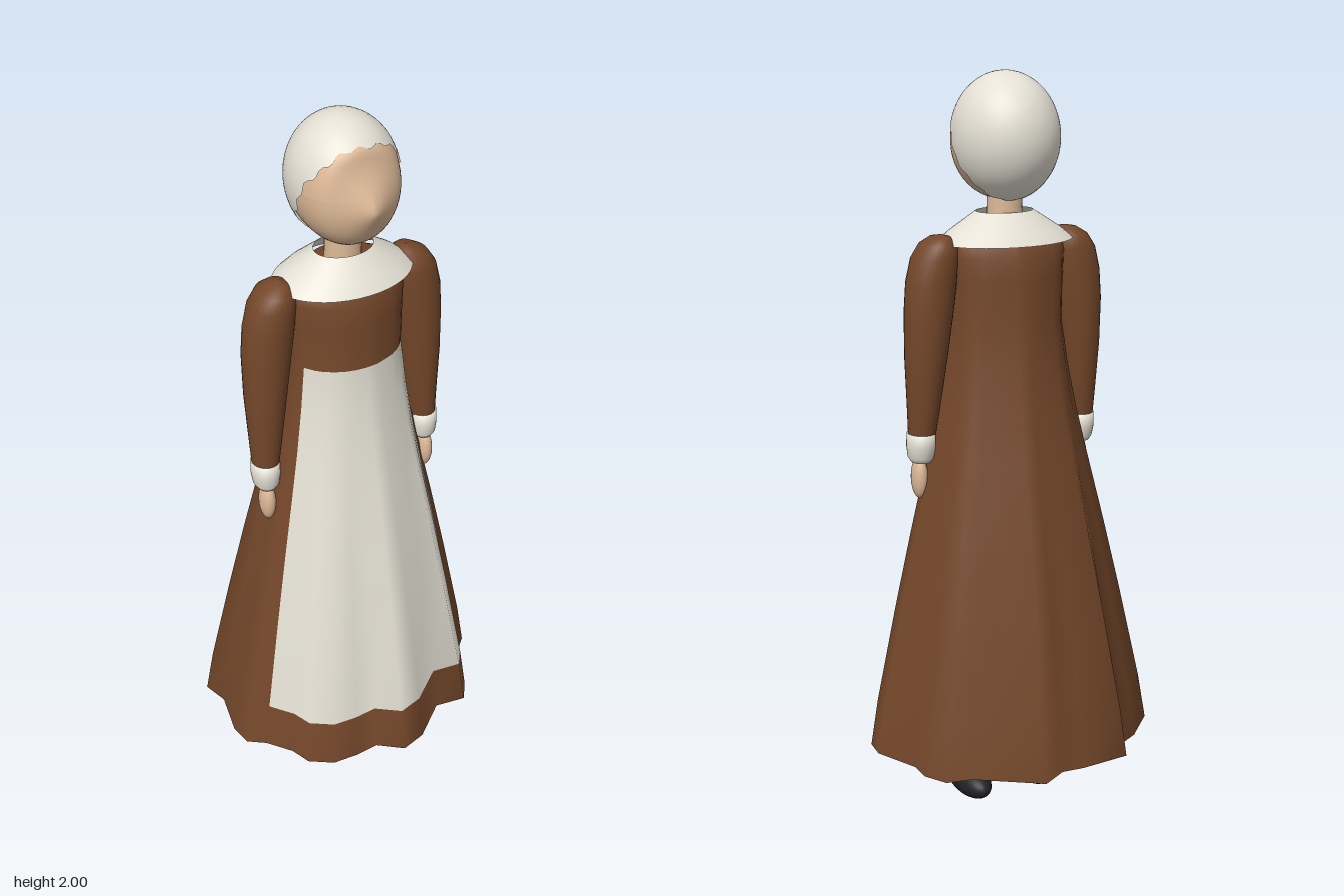
import * as THREE from 'three';

const mat = (name, color, side = THREE.FrontSide) => {
  const m = new THREE.MeshStandardMaterial({ color, side });
  m.name = name;
  return m;
};

// Surface through closed rings listed from bottom to top; pick(row, column) chooses the material index
function loft(rings, pick = () => 0) {
  const n = rings[0].length, lists = [[], []];
  for (let i = 0; i < rings.length - 1; i++) {
    for (let j = 0; j < n; j++) {
      const k = (j + 1) % n, a = i * n + j, b = i * n + k, c = a + n, d = b + n;
      lists[pick(i, j)].push(a, b, d, a, d, c);
    }
  }
  const g = new THREE.BufferGeometry();
  g.setAttribute('position', new THREE.Float32BufferAttribute(rings.flat(2), 3));
  g.setIndex(lists.flat());
  g.addGroup(0, lists[0].length, 0);
  g.addGroup(lists[0].length, lists[1].length, 1);
  g.computeVertexNormals();
  return g;
}

// Elliptical ring: height, centre x and z, half width, half depth
function oval([y, cx, cz, rx, rz], n = 28) {
  return Array.from({ length: n }, (_, j) => {
    const a = (j / n) * Math.PI * 2;
    return [cx + Math.sin(a) * rx, y, cz + Math.cos(a) * rz];
  });
}

export function createModel() {
  const model = new THREE.Group();
  const brown = mat('brown dress', 0x74472a, THREE.DoubleSide);
  const white = mat('off white cloth', 0xe4e0d4, THREE.DoubleSide);
  const skin = mat('skin', 0xdcb896);
  const stocking = mat('dark stocking', 0x4a413b);
  const black = mat('black shoe', 0x222225);

  const add = (name, geometry, material, parent = model) => {
    const m = new THREE.Mesh(geometry, material);
    m.name = name;
    parent.add(m);
    return m;
  };

  // Irregular pleated hem, counterclockwise from the front (x, z)
  const hem = [
    [0, .36], [.07, .34], [.165, .262], [.25, .275], [.285, .225], [.305, .165], [.317, .148],
    [.325, .115], [.38, .06], [.385, 0], [.33, -.12], [.33, -.18], [.295, -.24], [.225, -.255],
    [.065, -.365], [-.005, -.325], [-.07, -.33], [-.205, -.32], [-.235, -.25], [-.29, -.22],
    [-.38, -.13], [-.36, -.06], [-.385, .06], [-.375, .12], [-.33, .152], [-.28, .215],
    [-.26, .27], [-.2, .31], [-.13, .315], [-.065, .31],
  ];
  const apronRight = 6, apronLeft = 24;

  // Dress rows: height, share of the hem shape, body half width and half depth
  const rows = [
    [.2, 1, .155, .13], [.33, .91, .155, .13], [.6, .67, .155, .13], [.8, .48, .155, .13],
    [1, .28, .155, .13], [1.12, .165, .155, .13], [1.24, .07, .155, .13], [1.36, 0, .155, .13],
    [1.48, 0, .158, .128], [1.54, 0, .162, .122], [1.58, 0, .155, .106], [1.605, 0, .1, .08],
    [1.615, 0, .001, .001],
  ];
  const dressRings = rows.map(([y, s, w, d]) => hem.map(([x, z]) => {
    const a = Math.atan2(x, z);
    return [THREE.MathUtils.lerp(Math.sin(a) * w, x, s), y, THREE.MathUtils.lerp(Math.cos(a) * d, z, s)];
  }));
  const onApron = (i, j) => (i >= 1 && i < 7 && (j < apronRight || j >= apronLeft) ? 1 : 0);
  add('dressWithApron', loft(dressRings, onApron), [brown, white]);

  // Sloping collar
  add('collar', loft([
    oval([1.572, 0, 0, .186, .136], 40), oval([1.6, 0, 0, .152, .112], 40),
    oval([1.648, 0, .003, .078, .06], 40),
  ]), white);

  // Neck
  add('neck', new THREE.CylinderGeometry(.044, .048, .15, 24), skin).position.set(0, 1.66, 0);

  // Head, with the face drawn out to a pointed nose
  const head = new THREE.SphereGeometry(1, 48, 36);
  head.rotateX(Math.PI / 2);
  head.scale(.134, .162, .146);
  const p = head.attributes.position;
  for (let i = 0; i < p.count; i++) {
    const r = Math.hypot(p.getX(i) / .13, (p.getY(i) + .03) / .14);
    if (p.getZ(i) > 0 && r < 1) {
      p.setZ(i, THREE.MathUtils.lerp(.167 - .08 * Math.sqrt(r * r + .003), p.getZ(i), r ** 4));
    }
  }
  head.computeVertexNormals();
  add('head', head, skin).position.set(0, 1.837, 0);

  // Hair shell, tilted back, with a wavy edge round the face
  const hairRings = [];
  for (let i = 0; i <= 20; i++) {
    hairRings.push(Array.from({ length: 72 }, (_, j) => {
      const a = (j / 72) * Math.PI * 2;
      const end = 1.79 + .035 * Math.sin(a * 17) + .02 * Math.sin(a * 7 + 1);
      const t = Math.max(end * (1 - i / 20), .001);
      const v = new THREE.Vector3(Math.sin(a) * Math.sin(t), Math.cos(t), Math.cos(a) * Math.sin(t));
      v.applyAxisAngle(new THREE.Vector3(1, 0, 0), -1.04);
      return [v.x * .139, v.y * .165, v.z * .153];
    }));
  }
  add('hair', loft(hairRings), white).position.set(0, 1.835, -.002);

  for (const s of [1, -1]) {
    const side = s > 0 ? 'left' : 'right';

    // Sleeve, cuff and hand
    const arm = new THREE.Group();
    arm.name = side + 'Arm';
    model.add(arm);
    const sleeve = [
      [1.06, .237, .015, .034, .037], [1.15, .232, .01, .043, .046], [1.28, .226, .005, .055, .058],
      [1.4, .218, .002, .064, .063], [1.48, .21, .002, .066, .064], [1.54, .2, .002, .061, .063],
      [1.575, .19, .002, .048, .055], [1.592, .184, .002, .026, .034], [1.598, .18, .002, .001, .001],
    ];
    const cuff = [
      [1, .238, .018, .001, .001], [1.002, .238, .018, .026, .03], [1.015, .238, .018, .034, .038],
      [1.045, .238, .016, .038, .043], [1.08, .238, .015, .037, .042], [1.081, .238, .015, .001, .001],
    ];
    const mirror = ([y, x, ...rest]) => oval([y, x * s, ...rest]);
    add(side + 'Sleeve', loft(sleeve.map(mirror)), brown, arm);
    add(side + 'Cuff', loft(cuff.map(mirror)), white, arm);
    const hand = add(side + 'Hand', new THREE.SphereGeometry(1, 24, 18), skin, arm);
    hand.scale.set(.021, .057, .03);
    hand.position.set(.24 * s, .956, .025);

    // Stocking leg and rounded shoe
    const leg = add(side + 'Leg', new THREE.CylinderGeometry(.052, .034, .42, 24), stocking);
    leg.position.set(.095 * s, .26, .002);
    const shoe = add(side + 'Shoe', new THREE.SphereGeometry(1, 28, 20), black);
    shoe.scale.set(.049, .044, .105);
    shoe.position.set(.095 * s, .044, .035);
  }
  return model;
}
